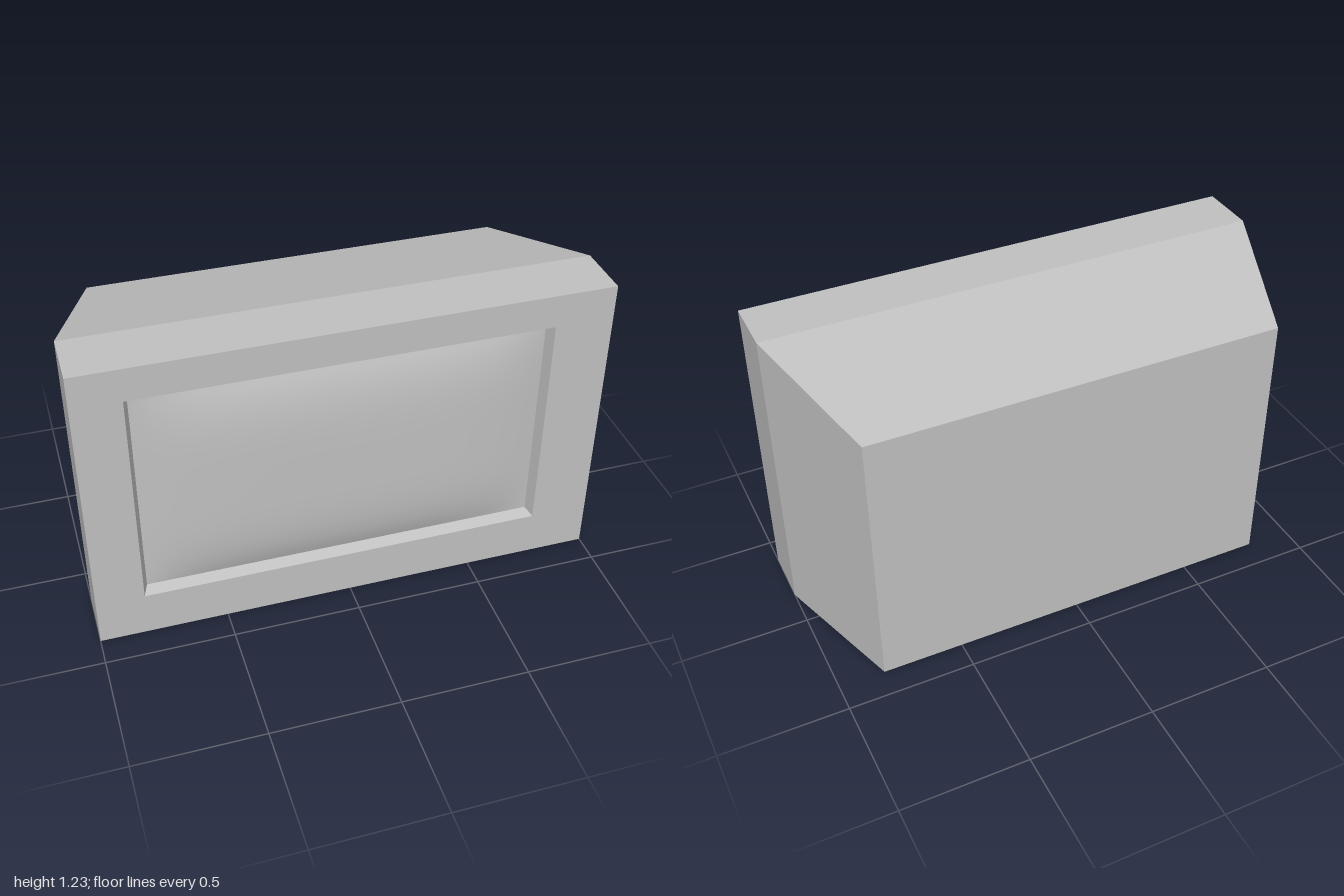
import * as THREE from 'three';

// Flat-shaded skin through rectangular rings [x0, x1, y0, y1, z], closed at the first ring
function loftRects(rings) {
  const corners = rings.map(([x0, x1, y0, y1, z]) => [[x0, y0, z], [x1, y0, z], [x1, y1, z], [x0, y1, z]]);
  const pos = [];
  const quad = (a, b, c, d) => pos.push(...a, ...b, ...c, ...a, ...c, ...d);
  const [c0, c1, c2, c3] = corners[0];
  quad(c0, c3, c2, c1);
  for (let i = 0; i < corners.length - 1; i++) {
    const A = corners[i], B = corners[i + 1];
    for (let k = 0; k < 4; k++) {
      const n = (k + 1) % 4;
      quad(A[k], A[n], B[n], B[k]);
    }
  }
  const geo = new THREE.BufferGeometry();
  geo.setAttribute('position', new THREE.Float32BufferAttribute(pos, 3));
  geo.computeVertexNormals();
  return geo;
}

// Rectangular glass that swells smoothly towards its middle
function bulgedPanel(width, height, depth) {
  const geo = new THREE.PlaneGeometry(width, height, 32, 24);
  const p = geo.attributes.position;
  for (let i = 0; i < p.count; i++) {
    const u = p.getX(i) / (width / 2), v = p.getY(i) / (height / 2);
    p.setZ(i, depth * (1 - u ** 4) * (1 - v ** 4));
  }
  geo.computeVertexNormals();
  return geo;
}

export function createModel() {
  const group = new THREE.Group();
  group.name = 'television';
  const grey = new THREE.MeshStandardMaterial({ color: 0xc0c0c0 });
  grey.name = 'grey';

  // Cabinet: tapered back, straight front band, front frame and recess walls
  const cabinet = new THREE.Mesh(loftRects([
    [-0.82, 0.82, 0, 1.09, -0.388],
    [-1, 1, 0, 1.228, 0.155],
    [-1, 1, 0, 1.228, 0.385],
    [-0.815, 0.77, 0.185, 1.095, 0.385],
    [-0.797, 0.752, 0.203, 1.077, 0.343],
  ]), grey);
  cabinet.name = 'cabinet';

  // Screen closes the back of the recess
  const screen = new THREE.Mesh(bulgedPanel(1.549, 0.874, 0.045), grey);
  screen.name = 'screen';
  screen.position.set(-0.0225, 0.64, 0.343);

  group.add(cabinet, screen);
  return group;
}
